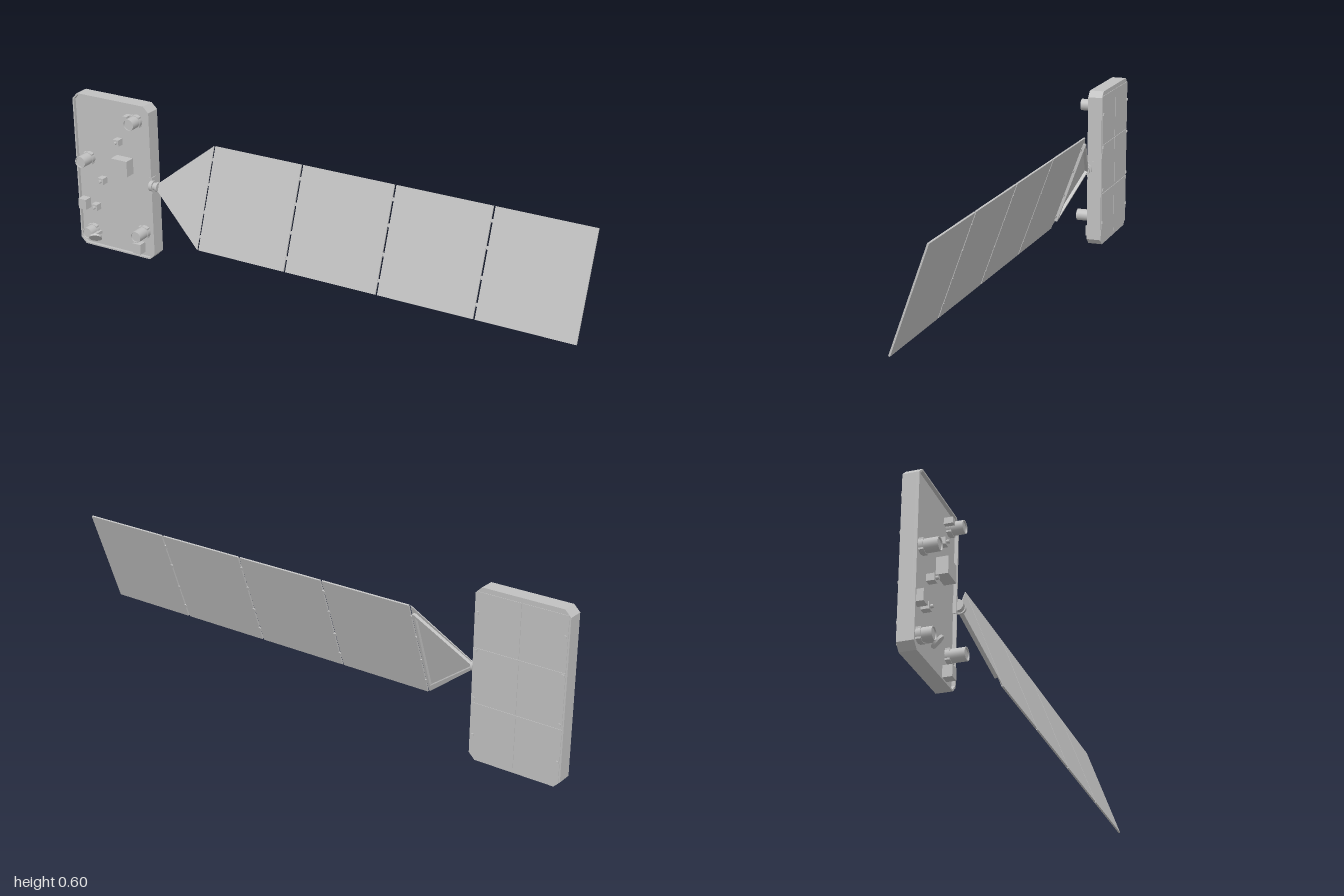
import * as THREE from 'three';

export function createModel() {
  const root = new THREE.Group();
  const grey = new THREE.MeshStandardMaterial({ color: 0xc0c0c0, side: THREE.DoubleSide });
  grey.name = 'plain grey';

  const add = (parent, name, geometry, x = 0, y = 0, z = 0) => {
    const mesh = new THREE.Mesh(geometry, grey);
    mesh.name = name;
    mesh.position.set(x, y, z);
    parent.add(mesh);
    return mesh;
  };
  // Box spanning z0 to z1
  const box = (parent, name, x, y, w, h, z0, z1) =>
    add(parent, name, new THREE.BoxGeometry(w, h, z1 - z0), x, y, (z0 + z1) / 2);
  const poly = (points, Type = THREE.Shape) => new Type(points.map((p) => new THREE.Vector2(...p)));
  const extrude = (shape, depth) => new THREE.ExtrudeGeometry(shape, { depth, bevelEnabled: false });
  // Rectangle with cut corners
  const cutRect = (w, h, c) => [
    [-w + c, -h], [w - c, -h], [w, -h + c], [w, h - c],
    [w - c, h], [-w + c, h], [-w, h - c], [-w, -h + c],
  ];

  // Flat bus: a shallow tray open to the front
  const bus = new THREE.Group();
  bus.name = 'bus';
  root.add(bus);
  const cx = -0.8325, cy = 0.301, floor = -0.012;
  add(bus, 'trayFloor', extrude(poly(cutRect(0.1675, 0.301, 0.022)), 0.043), cx, cy, -0.055);
  const rim = poly(cutRect(0.1675, 0.301, 0.022));
  rim.holes.push(poly(cutRect(0.162, 0.2955, 0.02).reverse(), THREE.Path));
  add(bus, 'trayRim', extrude(rim, 0.012), cx, cy, floor);

  // Rear cover panels, separated by narrow gaps
  for (const side of [-1, 1]) {
    for (const y of [0.11, 0.301, 0.492]) {
      box(bus, 'rearPanel', cx + side * 0.082, y, 0.16, 0.187, -0.057, -0.055);
    }
    for (const y of [0.09, 0.22, 0.386, 0.515]) {
      box(bus, 'rearClip', cx + side * 0.155, y, 0.008, 0.009, -0.061, -0.055);
    }
  }

  // Ribbed-collar sensor cans
  const can = (x, y, top, r = 0.022) => {
    const g = new THREE.Group();
    g.name = 'sensorCan';
    const profile = [[0, floor], [r + 0.002, floor], [r + 0.002, 0.004], [r, 0.004], [r, top],
      [r - 0.003, top], [r - 0.003, top - 0.005], [0, top - 0.005]];
    for (let i = 0; i + 1 < profile.length; i++) {
      const ring = profile.slice(i, i + 2).map((p) => new THREE.Vector2(...p));
      add(g, 'canRing', new THREE.LatheGeometry(ring, 24)).rotation.x = Math.PI / 2;
    }
    for (let i = 0; i < 4; i++) {
      const a = Math.PI / 4 + i * Math.PI / 2;
      box(g, 'canFoot', Math.cos(a) * 0.023, Math.sin(a) * 0.023, 0.007, 0.007, floor, 0.004);
    }
    g.position.set(x, y, 0);
    bus.add(g);
  };
  can(-0.725, 0.538, 0.043);
  can(-0.945, 0.354, 0.05);
  can(-0.711, 0.105, 0.052);
  can(-0.943, 0.063, 0.038);

  // Tilted dish beside the lowest can
  const dish = add(bus, 'tiltedDish', new THREE.CylinderGeometry(0.024, 0.024, 0.008, 24), -0.907, 0.054, 0.034);
  dish.quaternion.setFromUnitVectors(new THREE.Vector3(0, 1, 0), new THREE.Vector3(0.35, -0.65, 0.67).normalize());
  box(bus, 'dishStand', -0.915, 0.058, 0.012, 0.012, floor, 0.032);

  // Electronics boxes
  box(bus, 'mainBox', -0.786, 0.357, 0.07, 0.06, floor, 0.028);
  box(bus, 'sideBox', -0.971, 0.17, 0.034, 0.04, floor, 0.02);
  box(bus, 'lowerBox', -0.731, 0.04, 0.034, 0.04, floor, 0.02);
  box(bus, 'smallBlock', -0.757, 0.546, 0.018, 0.022, floor, 0.018);

  // Small blocks with a round tip
  for (const [x, y] of [[-0.805, 0.445], [-0.884, 0.278], [-0.92, 0.165]]) {
    box(bus, 'antennaBlock', x, y, 0.024, 0.024, floor, 0.015);
    add(bus, 'antennaTip', new THREE.CylinderGeometry(0.006, 0.006, 0.012, 12), x, y, 0.019).rotation.x = Math.PI / 2;
  }

  // Rotary joint for the wing
  const joint = new THREE.Group();
  joint.name = 'wingJoint';
  root.add(joint);
  box(joint, 'jointBracket', -0.668, 0.301, 0.012, 0.062, -0.025, 0);
  for (const [x, len, r] of [[-0.66, 0.014, 0.02], [-0.649, 0.026, 0.014], [-0.637, 0.008, 0.018]]) {
    add(joint, 'jointDrum', new THREE.CylinderGeometry(r, r, len, 24), x, 0.302, 0).rotation.z = Math.PI / 2;
  }

  // Tilted solar wing, built flat and then turned about its long axis
  const wing = new THREE.Group();
  wing.name = 'solarWing';
  wing.position.y = 0.302;
  wing.rotation.x = -0.351;
  root.add(wing);
  const half = 0.189, x0 = -0.426, pitch = 0.3575, width = 0.3505;
  for (let i = 0; i < 4; i++) {
    const left = x0 + i * pitch;
    box(wing, 'solarPanel', left + width / 2 + 0.001, 0, width, half * 2, -0.003, 0.003);
    // Hinges bridging each gap
    for (const y of [-0.14, -0.05, 0.05, 0.14]) {
      box(wing, 'panelHinge', left - 0.003, y, 0.012, 0.012, -0.0045, 0.001);
    }
  }

  // Triangular yoke: face sheet with a frame of bars behind it
  const tip = -0.64;
  add(wing, 'yokeSheet', extrude(poly([[tip, -0.01], [x0 - 0.004, -half], [x0 - 0.004, half], [tip, 0.01]]), 0.003), 0, 0, 0);
  box(wing, 'yokeCrossbar', x0 - 0.016, 0, 0.009, 0.32, -0.011, 0);
  for (const s of [-1, 1]) {
    const dx = x0 - 0.016 - tip, dy = s * 0.158;
    const bar = box(wing, 'yokeBar', tip + dx / 2, dy / 2, Math.hypot(dx, dy), 0.009, -0.011, 0);
    bar.rotation.z = Math.atan2(dy, dx);
  }
  return root;
}
